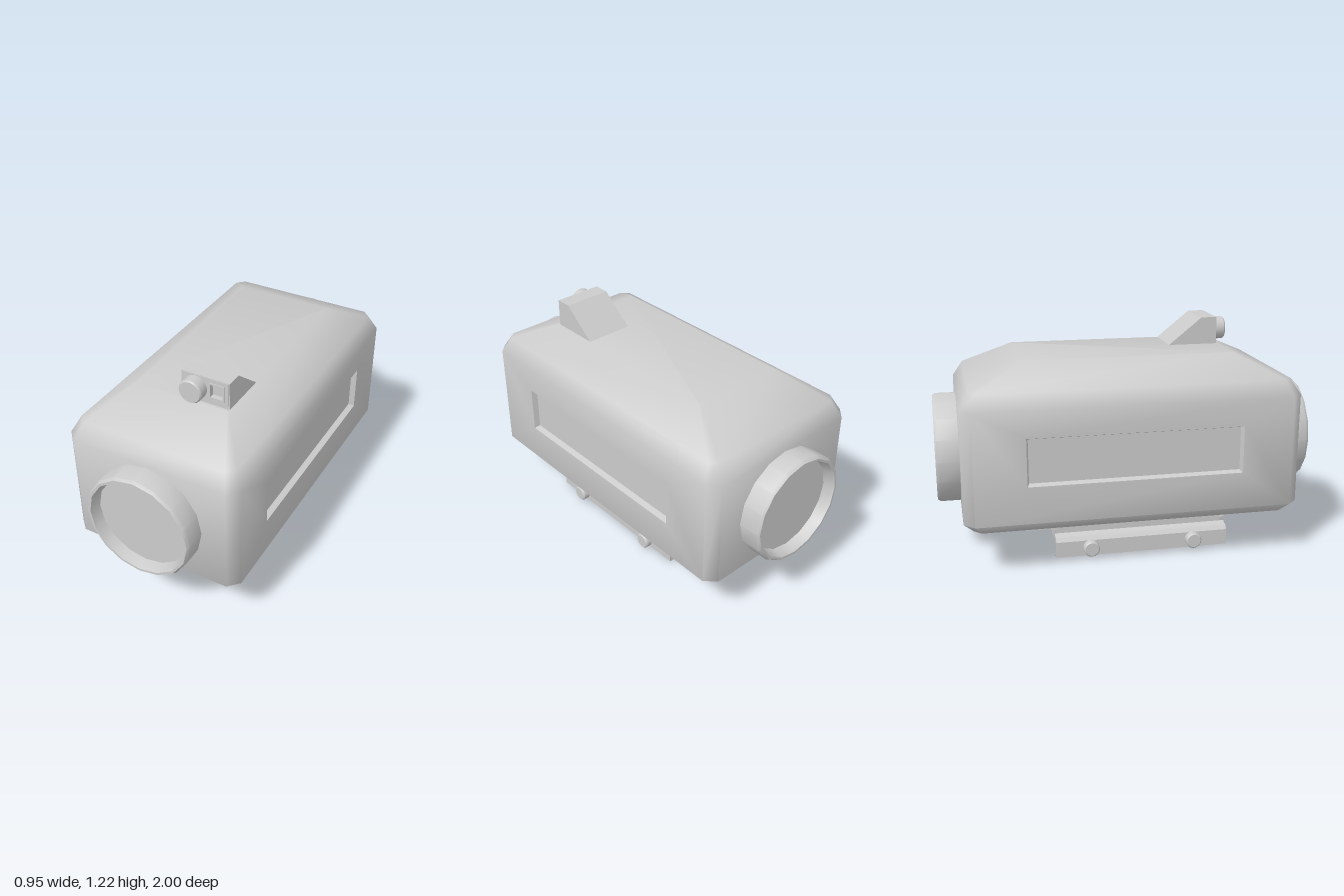
import * as THREE from 'three';
import { toCreasedNormals } from 'three/addons/utils/BufferGeometryUtils.js';

const material = new THREE.MeshStandardMaterial({ color: 0xcccccc });

function add(parent, name, geometry, x = 0, y = 0, z = 0) {
  const mesh = new THREE.Mesh(geometry, material);
  mesh.name = name;
  mesh.position.set(x, y, z);
  parent.add(mesh);
  return mesh;
}

const polygon = (pts) => new THREE.Shape(pts.map(([x, y]) => new THREE.Vector2(x, y)));
const rect = (x0, y0, x1, y1) => polygon([[x0, y0], [x1, y0], [x1, y1], [x0, y1]]);
const extrude = (shape, depth) => new THREE.ExtrudeGeometry(shape, { depth, bevelEnabled: false });

// Turned part pointing along +z
function turned(profile, sides) {
  const lathe = new THREE.LatheGeometry(profile.map(([r, z]) => new THREE.Vector2(r, z)), sides);
  lathe.rotateX(Math.PI / 2);
  return toCreasedNormals(lathe.toNonIndexed(), 0.6);
}

// Housing lofted through chamfered rectangles, with a sunken panel on each side
function bodyGeometry() {
  const pos = [];
  const quad = (a, b, c, d) => pos.push(...a, ...b, ...c, ...a, ...c, ...d);
  const ring = ([y, x, z, c]) => [
    [-x + c, y, z], [x - c, y, z], [x, y, z - c], [x, y, -z + c],
    [x - c, y, -z], [-x + c, y, -z], [-x, y, -z + c], [-x, y, z - c],
  ];
  // y, half width, half length, corner cut
  const rings = [
    [0.23, 0.415, 0.83, 0.04],
    [0.285, 0.475, 0.88, 0.055],
    [0.87, 0.475, 0.88, 0.055],
    [0.955, 0.432, 0.825, 0.04],
    [1.075, 0.26, 0.56, 0.004],
  ].map(ring);

  const panel = (s, x, inset) => {
    const z = s * (0.56 - inset), y0 = 0.48 + inset, y1 = 0.73 - inset;
    return [[s * x, y0, z], [s * x, y0, -z], [s * x, y1, -z], [s * x, y1, z]];
  };
  for (let k = 0; k < 4; k++) {
    for (let i = 0; i < 8; i++) {
      const n = (i + 1) % 8, lo = rings[k], hi = rings[k + 1];
      const outer = [lo[i], lo[n], hi[n], hi[i]];
      if (k !== 1 || i % 4 !== 2) {
        quad(...outer);
        continue;
      }
      const s = i === 2 ? 1 : -1;
      const loops = [outer, panel(s, 0.475, 0), panel(s, 0.445, 0.01)];
      for (let l = 0; l < 2; l++) {
        for (let j = 0; j < 4; j++) {
          const m = (j + 1) % 4;
          quad(loops[l][j], loops[l][m], loops[l + 1][m], loops[l + 1][j]);
        }
      }
      quad(...loops[2]);
    }
  }
  // Top and bottom caps
  for (let i = 1; i < 7; i++) {
    pos.push(...rings[4][0], ...rings[4][i], ...rings[4][i + 1]);
    pos.push(...rings[0][0], ...rings[0][i + 1], ...rings[0][i]);
  }
  const geometry = new THREE.BufferGeometry();
  geometry.setAttribute('position', new THREE.Float32BufferAttribute(pos, 3));
  return toCreasedNormals(geometry, 1.0);
}

export function createModel() {
  const model = new THREE.Group();
  model.name = 'opticSight';
  add(model, 'body', bodyGeometry());

  // Sixteen-sided lens tubes at both ends
  const tube = turned([
    [0.29, 0.86], [0.29, 0.985], [0.28, 1], [0.267, 1],
    [0.262, 0.985], [0.252, 0.94], [0, 0.94],
  ], 16);
  add(model, 'frontLensTube', tube, 0, 0.575, 0);
  add(model, 'rearLensTube', tube, 0, 0.575, 0).rotation.y = Math.PI;

  // Sensor housing on the roof: wedge behind a pierced front plate
  const sensor = new THREE.Group();
  sensor.name = 'sensorHousing';
  model.add(sensor);
  const wedge = extrude(polygon([[0.28, 1.06], [0.52, 1.06], [0.52, 1.22], [0.46, 1.22], [0.28, 1.075]]), 0.26);
  wedge.rotateY(-Math.PI / 2);
  add(sensor, 'wedge', wedge, 0.26, 0, 0);
  const plate = rect(0, 1.06, 0.26, 1.22);
  plate.holes.push(rect(0.155, 1.115, 0.228, 1.19));
  add(sensor, 'frontPlate', extrude(plate, 0.025), 0, 0, 0.52);
  add(sensor, 'frontBevel', (() => {
    const g = new THREE.CylinderGeometry(Math.SQRT1_2, Math.SQRT1_2, 0.004, 4, 1, true, Math.PI / 4);
    g.rotateX(Math.PI / 2);
    g.scale(0.252, 0.15, 1);
    return toCreasedNormals(g.toNonIndexed(), 0.5);
  })(), 0.13, 1.143, 0.546);
  const rim = rect(0.15, 1.11, 0.233, 1.195);
  rim.holes.push(rect(0.158, 1.118, 0.225, 1.187));
  add(sensor, 'windowRim', extrude(rim, 0.012), 0, 0, 0.538);
  add(sensor, 'windowButton', new THREE.BoxGeometry(0.048, 0.048, 0.02), 0.1915, 1.1525, 0.525);
  add(sensor, 'knob', turned([[0.062, -0.02], [0.062, 0.052], [0.056, 0.06], [0, 0.06]], 20), 0.077, 1.15, 0.545);

  // Mount plate under the body
  add(model, 'mountPlate', new THREE.BoxGeometry(0.52, 0.064, 1.11), 0, 0.192, -0.005);
  add(model, 'mountPlateFlange', new THREE.BoxGeometry(0.53, 0.012, 1.12), 0, 0.226, -0.005);
  add(model, 'mountNeck', new THREE.BoxGeometry(0.5, 0.035, 0.91), 0, 0.147, 0.06);

  // Rail clamp with a hooked jaw on each side
  const half = [
    [0.25, 0.152], [0.247, 0.128], [0.257, 0.119], [0.285, 0.115], [0.3, 0.095],
    [0.3, 0.01], [0.262, 0.01], [0.255, 0], [0.255, 0.012], [0.284, 0.05], [0.276, 0.072], [0.25, 0.088],
  ];
  const mirrored = half.map(([x, y]) => [-x, y]).reverse();
  add(model, 'railClamp', toCreasedNormals(extrude(polygon([...half, ...mirrored]), 0.94), 0.6), 0, 0, -0.4);

  // Clamp bolts
  const bolt = turned([[0.036, -0.01], [0.036, 0.005], [0.043, 0.007], [0.043, 0.038], [0.036, 0.045], [0, 0.045]], 16);
  for (const side of [1, -1]) {
    for (const z of [0.345, -0.215]) {
      add(model, 'clampBolt', bolt, side * 0.3, 0.06, z).rotation.y = side * Math.PI / 2;
    }
  }
  return model;
}
